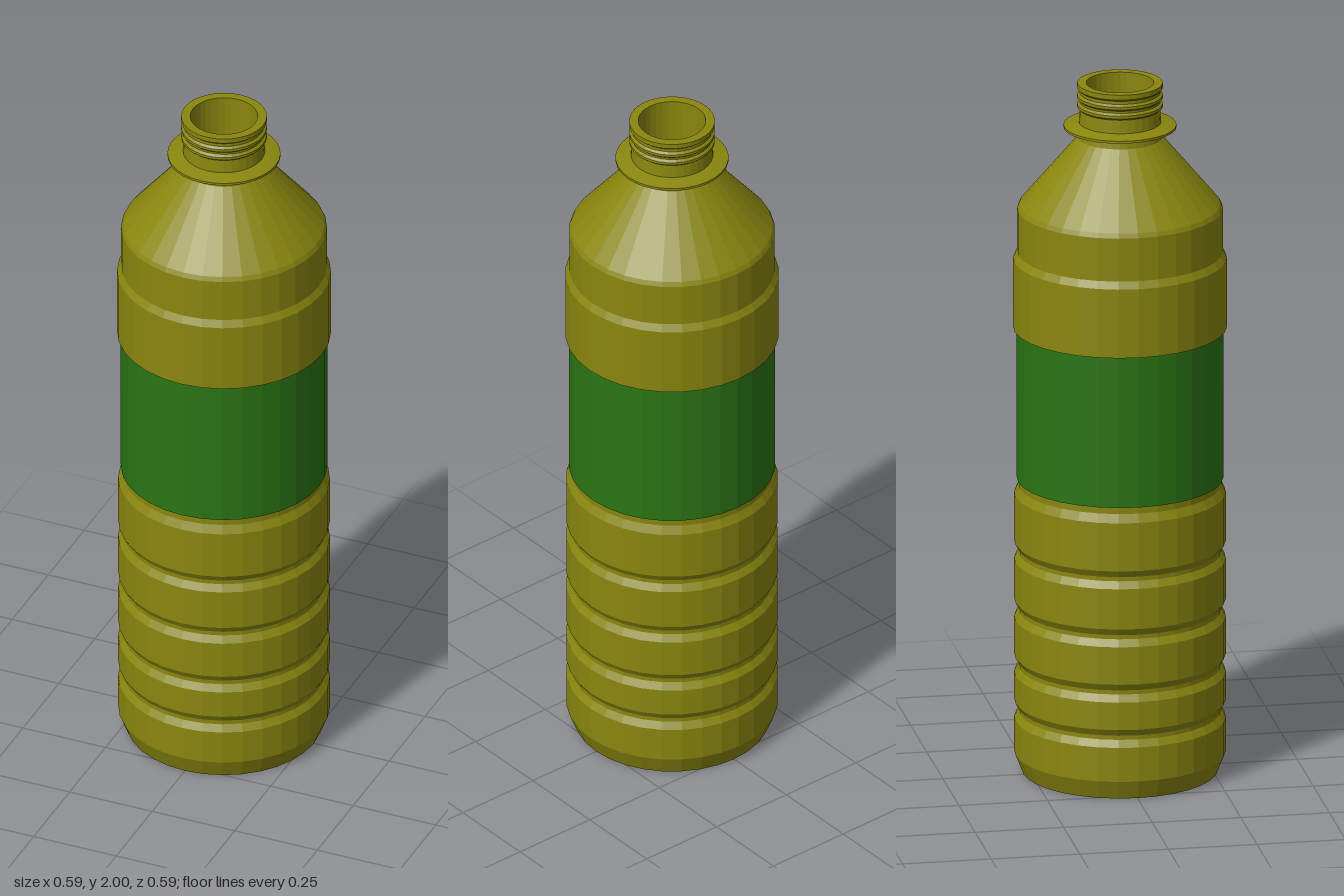
import * as THREE from 'three';

const SIDES = 32;

export function createModel() {
  const group = new THREE.Group();
  group.name = 'bottle';
  const plastic = new THREE.MeshStandardMaterial({ color: 0x8a870f, flatShading: true });
  const green = new THREE.MeshStandardMaterial({ color: 0x2a7514, flatShading: true });

  // Revolve a profile of [radius, height] pairs; rising profiles face outward
  function lathe(name, profile, material) {
    const points = profile.map(([r, y]) => new THREE.Vector2(r, y));
    const mesh = new THREE.Mesh(new THREE.LatheGeometry(points, SIDES), material);
    mesh.name = name;
    group.add(mesh);
  }

  // Lower body: tapered foot and four grip grooves
  const outer = [[0, 0], [0.272, 0], [0.28, 0.02], [0.294, 0.055]];
  for (const y of [0.18, 0.312, 0.473, 0.642]) {
    outer.push([0.294, y - 0.026], [0.282, y - 0.006], [0.282, y + 0.006], [0.294, y + 0.026]);
  }
  // Label recess, upper band, shoulder and neck base
  outer.push(
    [0.294, 0.808], [0.283, 0.832], [0.283, 1.288],
    [0.297, 1.29], [0.297, 1.49], [0.286, 1.51], [0.286, 1.635],
    [0.28, 1.648], [0.118, 1.842], [0.115, 1.862],
  );
  // Support flange
  outer.push([0.157, 1.871], [0.157, 1.878], [0.114, 1.886]);
  // Neck with raised thread rings and lip
  for (const y of [1.935, 1.961]) {
    outer.push([0.112, y - 0.01], [0.119, y - 0.004], [0.119, y + 0.004], [0.112, y + 0.01]);
  }
  outer.push([0.112, 1.98], [0.119, 1.986], [0.119, 2]);
  // Hollow inside, from the mouth down to the floor
  const inner = [[0.094, 2], [0.094, 1.84], [0.265, 1.63], [0.265, 0.04], [0.255, 0.01], [0, 0.01]];
  lathe('bottleBody', [...outer, ...inner], plastic);

  // Wrapped label
  lathe('label', [[0.283, 0.85], [0.287, 0.851], [0.287, 1.289], [0.283, 1.29]], green);

  return group;
}
